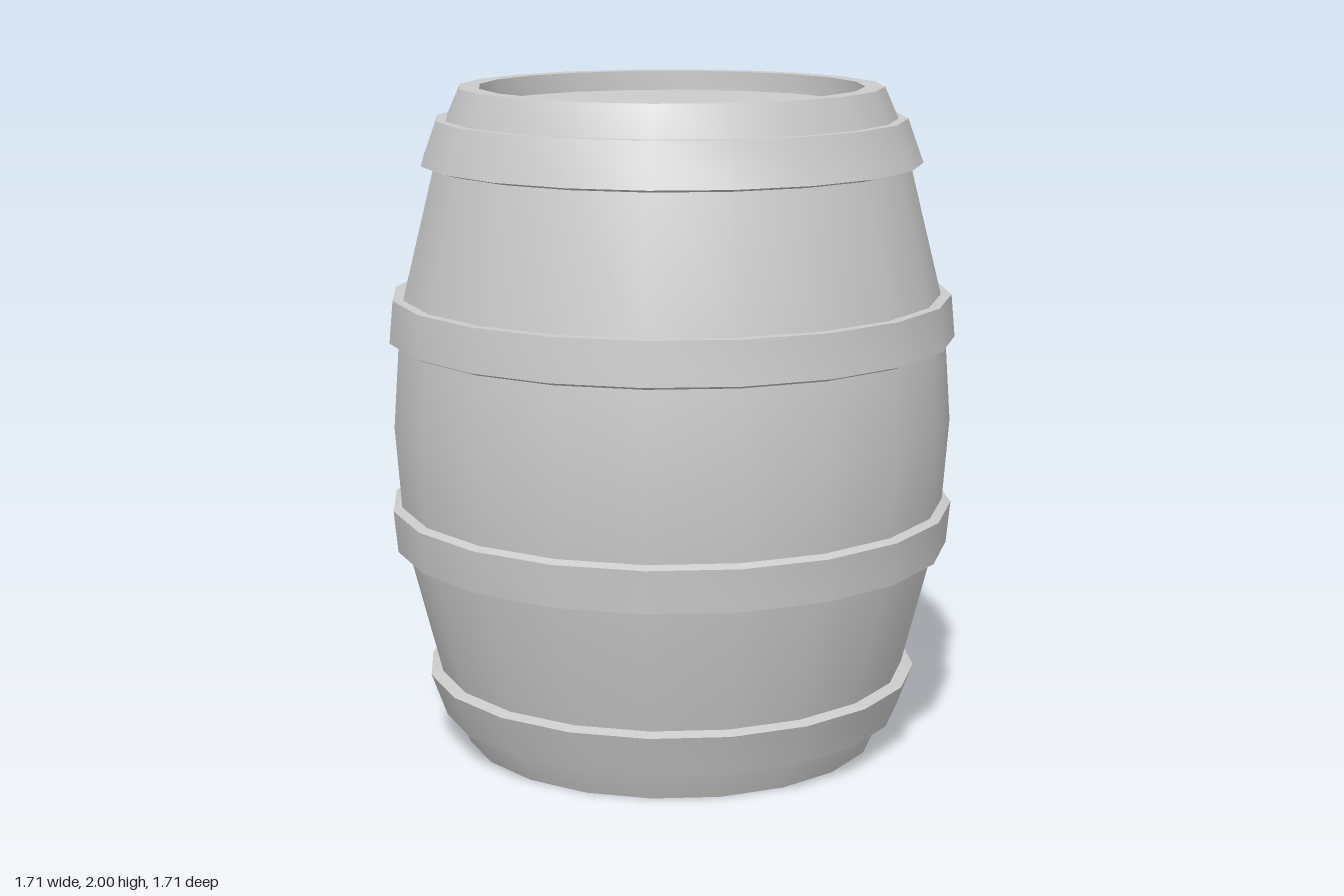
import * as THREE from 'three';
import { toCreasedNormals } from 'three/addons/utils/BufferGeometryUtils.js';

const SIDES = 20;
const HEIGHT = 2;

export function createModel() {
  const barrel = new THREE.Group();
  barrel.name = 'barrel';
  const material = new THREE.MeshStandardMaterial({ color: 0xcccccc });

  // Mirror a profile about mid-height, keeping it running from bottom to top
  const flip = (profile) => profile.map(([r, y]) => [r, HEIGHT - y]).reverse();

  // Revolve a [radius, y] profile, smooth around but sharp at its corners
  function addLathe(name, profile) {
    const points = profile.map(([r, y]) => new THREE.Vector2(r, y));
    const geometry = toCreasedNormals(new THREE.LatheGeometry(points, SIDES), Math.PI / 6);
    const mesh = new THREE.Mesh(geometry, material);
    mesh.name = name;
    barrel.add(mesh);
  }

  // Body: bulging staves with a raised rim around a recessed head at each end
  const upperHalf = [
    [0.828, 1.25], [0.811, 1.383], [0.714, 1.77], [0.675, 1.907],
    [0.634, 2], [0.575, 2], [0.575, 1.94], [0, 1.94],
  ];
  addLathe('body', [...flip(upperHalf), [0.846, 1], ...upperHalf]);

  // Hoops: inner bottom, outer bottom, outer top, inner top
  const middleHoop = [[0.826, 1.245], [0.855, 1.256], [0.843, 1.383], [0.808, 1.383]];
  const endHoop = [[0.712, 1.767], [0.751, 1.777], [0.704, 1.907], [0.672, 1.907]];
  addLathe('upperMiddleHoop', middleHoop);
  addLathe('lowerMiddleHoop', flip(middleHoop));
  addLathe('topHoop', endHoop);
  addLathe('bottomHoop', flip(endHoop));

  return barrel;
}
